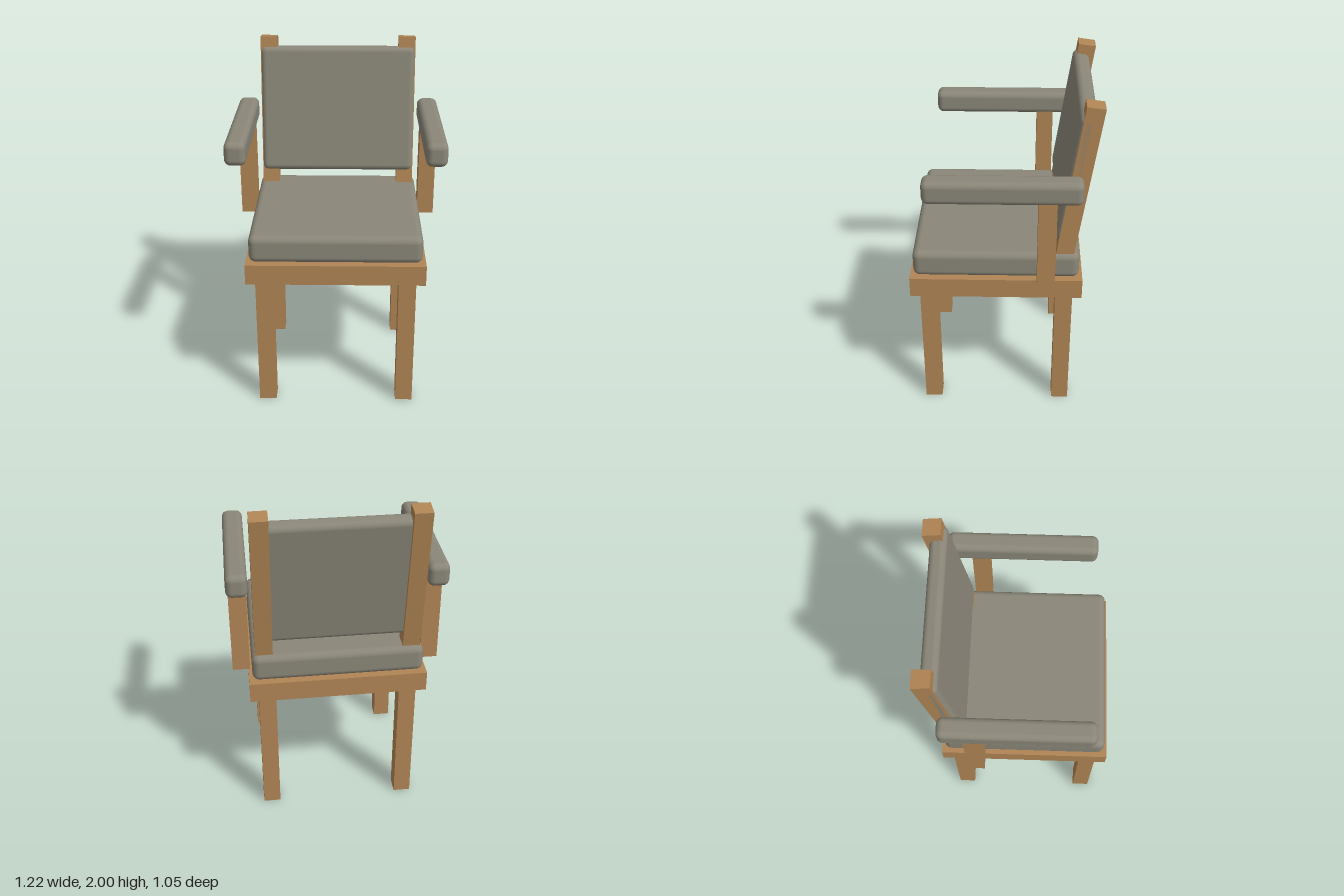
import * as THREE from 'three';
import { RoundedBoxGeometry } from 'three/addons/geometries/RoundedBoxGeometry.js';

export function createModel() {
  const chair = new THREE.Group();
  chair.name = 'armchair';
  const wood = new THREE.MeshStandardMaterial({ color: 0xb08555 });
  const fabric = new THREE.MeshStandardMaterial({ color: 0x8a8678 });

  const add = (parent, name, geometry, material, x, y, z) => {
    const mesh = new THREE.Mesh(geometry, material);
    mesh.name = name;
    mesh.position.set(x, y, z);
    parent.add(mesh);
    return mesh;
  };
  const beam = (parent, name, [w, h, d], x, y, z) =>
    add(parent, name, new THREE.BoxGeometry(w, h, d), wood, x, y, z);
  const cushion = (parent, name, [w, h, d], radius, x, y, z) =>
    add(parent, name, new RoundedBoxGeometry(w, h, d, 5, radius), fabric, x, y, z);

  // Seat
  beam(chair, 'seatFrame', [1.02, 0.12, 0.98], 0, 0.88, 0.04);
  cushion(chair, 'seatCushion', [0.98, 0.163, 0.94], 0.04, 0, 1.022, 0.04);

  // Leaning back: posts and cushion share one tilted group
  const back = new THREE.Group();
  back.name = 'backrest';
  back.position.set(0, 1.555, -0.412);
  back.rotation.x = -THREE.MathUtils.degToRad(8.1);
  chair.add(back);
  cushion(back, 'backCushion', [0.94, 0.77, 0.095], 0.035, 0, 0, 0.02);

  for (const [side, s] of [['left', 1], ['right', -1]]) {
    // Legs
    beam(chair, side + 'FrontLeg', [0.1, 0.82, 0.1], s * 0.41, 0.41, 0.43);
    beam(chair, side + 'BackLeg', [0.1, 0.82, 0.1], s * 0.41, 0.41, -0.35);
    // Back post, its foot sunk into the seat cushion
    beam(back, side + 'BackPost', [0.1, 0.95, 0.1], s * 0.42, -0.032, 0);
    // Arm
    beam(chair, side + 'ArmPost', [0.1, 0.56, 0.1], s * 0.55, 1.22, -0.24);
    cushion(chair, side + 'Armrest', [0.12, 0.136, 0.855], 0.036, s * 0.55, 1.557, 0);
  }
  return chair;
}
